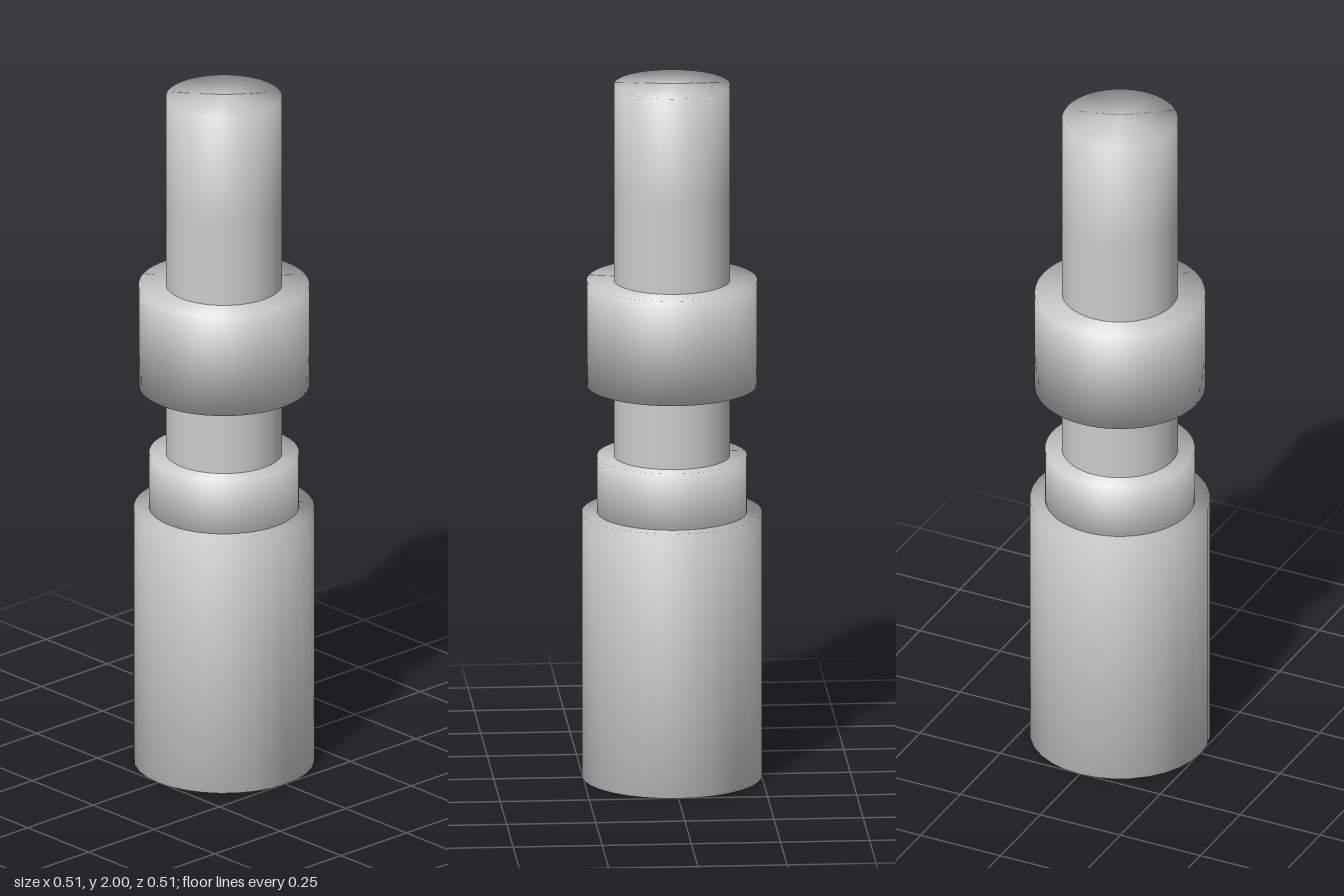
import * as THREE from 'three';

const material = new THREE.MeshStandardMaterial({ color: 0xcccccc });

// Closed round section, with shading softened over its rims
function section(name, radius, heights, sides) {
  const profile = [
    new THREE.Vector2(0, heights[0]),
    ...heights.map((y) => new THREE.Vector2(radius, y)),
    new THREE.Vector2(0, heights[heights.length - 1]),
  ];
  const mesh = new THREE.Mesh(new THREE.LatheGeometry(profile, sides), material);
  mesh.name = name;
  return mesh;
}

export function createModel() {
  const model = new THREE.Group();
  model.name = 'steppedShaft';
  model.add(
    section('base', 0.253, [0, 0.765], 32),
    section('sleeve', 0.21, [0.7, 0.928], 64),
    // The extra ring keeps the shading even below the rounded-looking tip
    section('shaft', 0.163, [0.7, 0.9, 1.68, 2], 64),
    section('collar', 0.239, [1.132, 1.435], 64)
  );
  return model;
}
